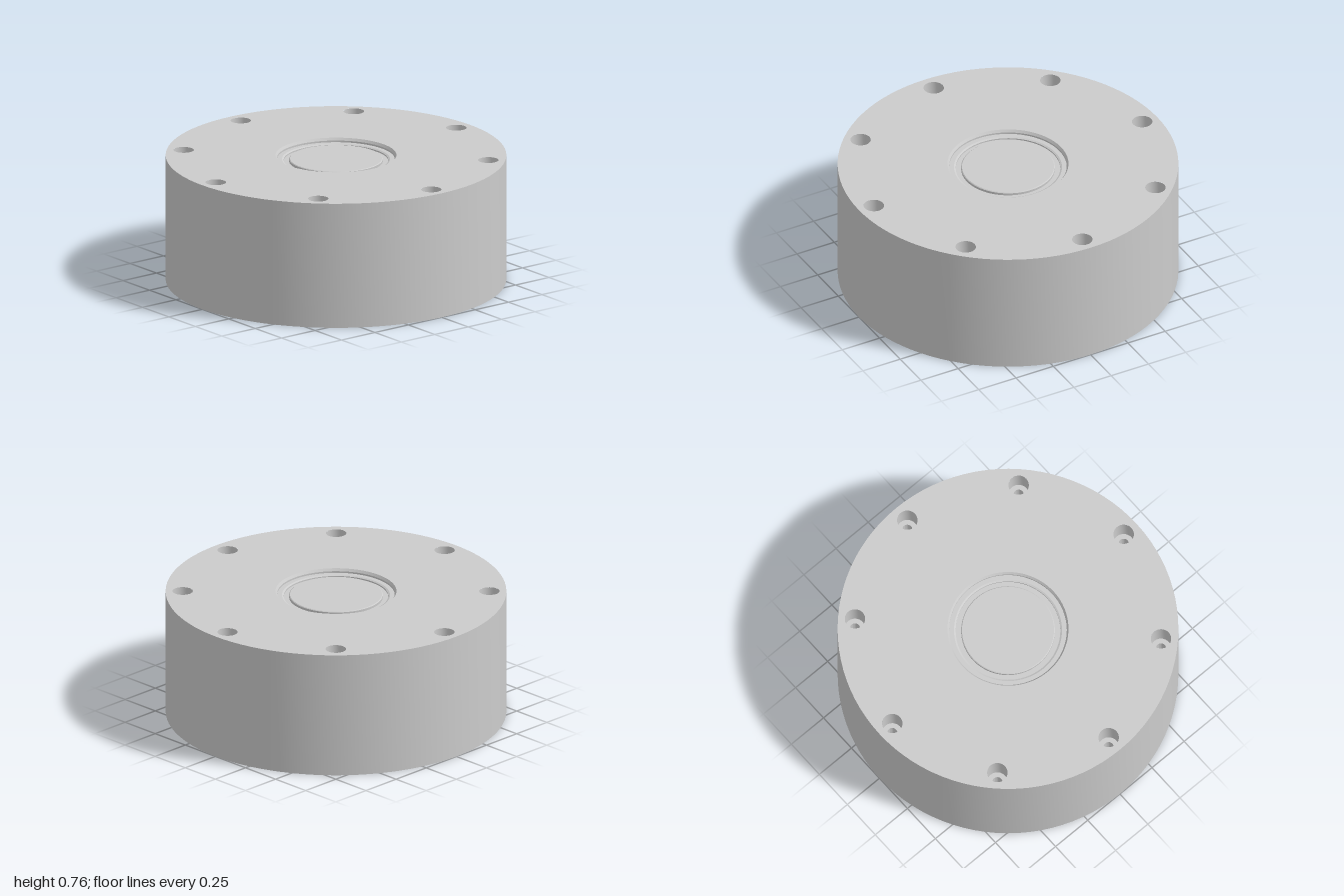
import * as THREE from 'three';
import { toCreasedNormals } from 'three/addons/utils/BufferGeometryUtils.js';

const H = 0.76;          // body height
const BOLTS = 8, BOLT_CIRCLE = 0.9, BOLT_R = 0.06;
const WINDOW_R = 0.355;  // opening in the top face
const SEGS = 96;

export function createModel() {
  const model = new THREE.Group();
  const grey = new THREE.MeshStandardMaterial({ color: 0xcccccc });

  const add = (name, geometry, parent = model) => {
    const mesh = new THREE.Mesh(geometry, grey);
    mesh.name = name;
    parent.add(mesh);
    return mesh;
  };
  const turned = (points, segs = SEGS) => toCreasedNormals(
    new THREE.LatheGeometry(points.map(([r, y]) => new THREE.Vector2(r, y)), segs), 0.4);
  const circle = (Type, x, y, r) => new Type().absarc(x, y, r, 0, Math.PI * 2, false);

  // Round housing wall, underside and the socket recess beneath
  add('housing', turned([[0, 0.22], [0.316, 0.22], [0.316, 0], [1, 0], [1, H]]));

  // Flat top face, pierced by the window and the bolt holes
  const top = circle(THREE.Shape, 0, 0, 1);
  top.holes.push(circle(THREE.Path, 0, 0, WINDOW_R));
  const boltHoles = new THREE.Group();
  boltHoles.name = 'boltHoles';
  model.add(boltHoles);
  const holeGeometry = turned(
    [[BOLT_R, H], [BOLT_R, 0.6], [0.03, 0.6], [0.03, 0.4], [0, 0.4]], 32);
  for (let i = 0; i < BOLTS; i++) {
    const a = (i / BOLTS) * Math.PI * 2;
    const x = BOLT_CIRCLE * Math.cos(a), z = BOLT_CIRCLE * Math.sin(a);
    top.holes.push(circle(THREE.Path, x, -z, BOLT_R));
    add('boltHole', holeGeometry, boltHoles).position.set(x, 0, z);
  }
  const topFace = new THREE.ShapeGeometry(top, SEGS / 2);
  topFace.rotateX(-Math.PI / 2).translate(0, H, 0);
  add('topFace', topFace);

  // Stepped retaining ring around the window
  add('windowRing', turned([
    [WINDOW_R, H], [0.345, 0.745], [0.345, 0.735], [0.317, 0.735],
    [0.307, 0.73], [0.307, 0.722], [0.27, 0.722],
  ]));
  add('window', turned([[0.275, 0.72], [0.275, 0.736], [0.27, 0.74], [0, 0.74]]));

  // Socket insert in the underside
  const socket = new THREE.Group();
  socket.name = 'socket';
  const extrudeUp = (shape, y) => new THREE.ExtrudeGeometry(shape,
    { depth: 0.22 - y, bevelEnabled: false, curveSegments: 48 })
    .rotateX(Math.PI / 2).translate(0, 0.22, 0);

  const collar = circle(THREE.Shape, 0, 0, 0.315);
  collar.holes.push(circle(THREE.Path, 0, 0, 0.23));
  add('socketCollar', toCreasedNormals(extrudeUp(collar, 0.027), 0.4), socket);

  // Socket face with a double hexagonal slot between two round holes
  const face = circle(THREE.Shape, 0, 0, 0.23);
  const half = [[0.02, 0.018], [0.035, 0.03], [0.08, 0.06], [0.126, 0.03]];
  const right = [...half, ...half.map(([x, y]) => [x, -y]).reverse()];
  const slot = [...right, ...right.map(([x, y]) => [-x, -y])];
  face.holes.push(
    new THREE.Path(slot.map(([x, y]) => new THREE.Vector2(x, y))),
    circle(THREE.Path, 0, 0.11, 0.026),
    circle(THREE.Path, 0, -0.11, 0.026));
  add('socketFace', toCreasedNormals(extrudeUp(face, 0.029), 0.4), socket);
  socket.rotation.y = THREE.MathUtils.degToRad(-38);
  model.add(socket);

  return model;
}
